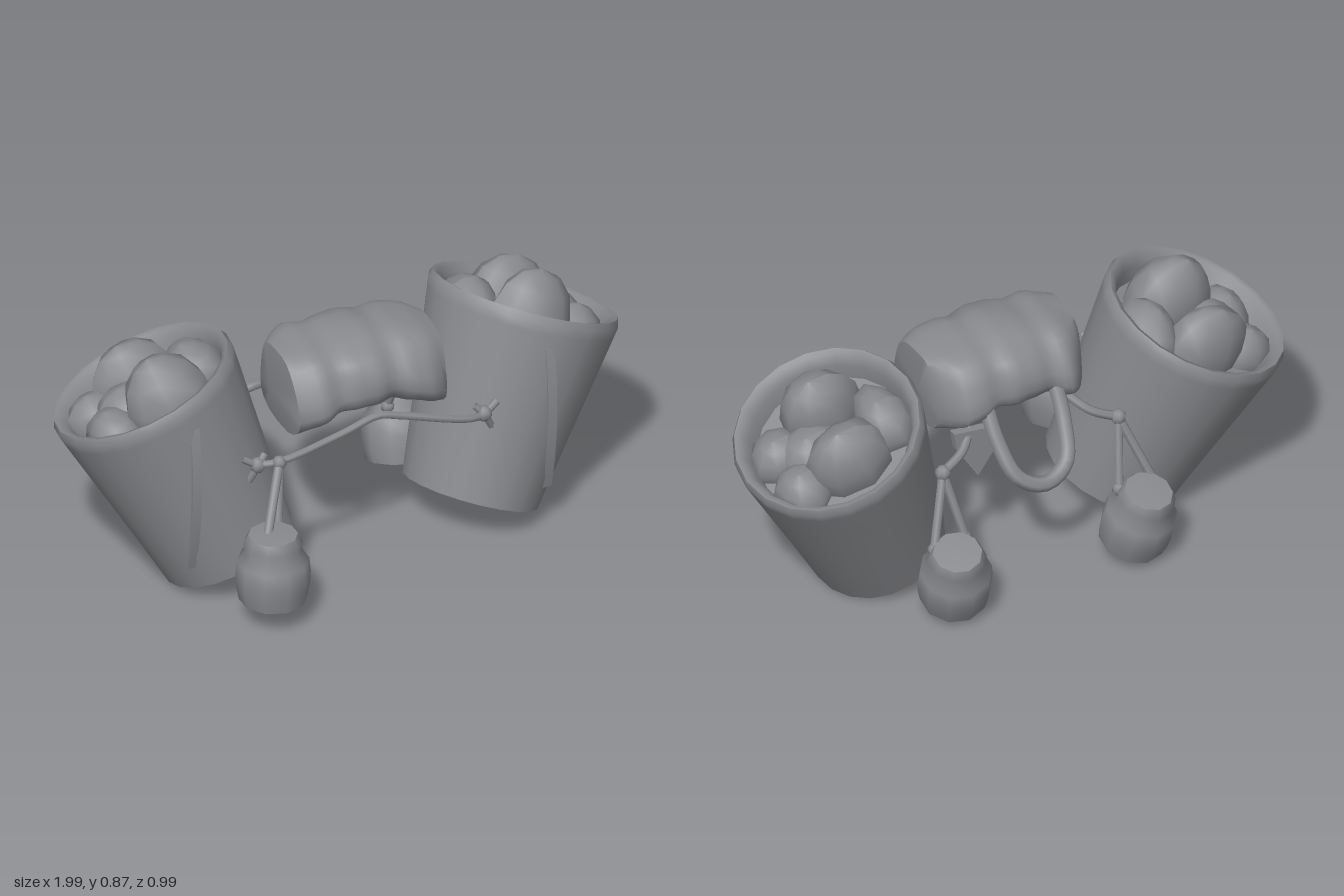
import * as THREE from 'three';
import { toCreasedNormals } from 'three/addons/utils/BufferGeometryUtils.js';

const grey = new THREE.MeshStandardMaterial({ color: 0x88898d, side: THREE.DoubleSide });
grey.name = 'clay grey';
const V = (x, y, z) => new THREE.Vector3(x, y, z);
const UP = V(0, 1, 0);

function add(parent, name, geometry, position) {
  const mesh = new THREE.Mesh(geometry, grey);
  mesh.name = name;
  if (position) mesh.position.copy(position);
  parent.add(mesh);
  return mesh;
}

const lathe = (profile, sides, crease) => toCreasedNormals(
  new THREE.LatheGeometry(profile.map(([r, y]) => new THREE.Vector2(r, y)), sides), crease);

// group whose local y runs from one point towards another
function standing(parent, name, from, to) {
  const g = new THREE.Group();
  g.name = name;
  g.position.copy(from);
  g.quaternion.setFromUnitVectors(UP, to.clone().sub(from).normalize());
  parent.add(g);
  return g;
}

function rope(parent, name, points, radius = 0.016, segments = 12) {
  const curve = new THREE.CatmullRomCurve3(points, false, 'centripetal');
  return add(parent, name, new THREE.TubeGeometry(curve, segments, radius, 6));
}

const knot = (parent, p, r = 0.025) => add(parent, 'knot', new THREE.SphereGeometry(r, 7, 5), p);

// irregular rounded lump
function lumpGeometry(seed) {
  const geo = new THREE.SphereGeometry(1, 9, 7);
  const p = geo.attributes.position;
  for (let i = 0; i < p.count; i++) {
    const v = V().fromBufferAttribute(p, i);
    const k = 1 + 0.06 * Math.sin(3 * v.x + seed) + 0.06 * Math.sin(4 * v.z + 2 * seed);
    p.setXYZ(i, v.x * k, v.y, v.z * k);
  }
  geo.computeVertexNormals();
  return geo;
}

// leaning basket filled with lumps
function basket(parent, s) {
  const g = standing(parent, s > 0 ? 'leftBasket' : 'rightBasket', V(0.438 * s, 0.1, 0.01), V(0.695 * s, 0.72, -0.12));
  add(g, 'basketWall', lathe([[0, 0], [0.234, 0], [0.264, 0.22], [0.302, 0.48], [0.324, 0.63], [0.329, 0.665],
    [0.318, 0.688], [0.3, 0.683], [0.278, 0.645], [0.265, 0.59], [0, 0.58]], 20, 0.9));
  const lumps = [ // x, y, z, then half sizes
    [-0.03, 0.62, 0.12, 0.15, 0.185, 0.12], [0.0, 0.62, -0.11, 0.16, 0.17, 0.105],
    [0.17, 0.6, 0.07, 0.1, 0.1, 0.11], [0.17, 0.6, -0.1, 0.1, 0.1, 0.1],
    [-0.18, 0.6, -0.03, 0.1, 0.11, 0.14], [0.08, 0.6, 0.0, 0.13, 0.11, 0.12],
  ];
  lumps.forEach(([x, y, z, a, b, c], i) => {
    add(g, 'lump', lumpGeometry(i * 1.7 + s), V(x * s, y, z)).scale.set(a, b, c);
  });

  // thin strap following the front of the basket
  const strap = new THREE.BoxGeometry(0.032, 0.55, 0.014, 1, 10, 1);
  const p = strap.attributes.position;
  for (let i = 0; i < p.count; i++) {
    const t = p.getY(i) / 0.275;
    p.setZ(i, p.getZ(i) + 0.217 + 0.014 * t - 0.033 * t * t);
  }
  strap.computeVertexNormals();
  add(parent, 'strap', strap, V(0.643 * s, 0.425, 0));
}

// closed round jar with a pinched neck
const jarProfile = [[0, -0.004], [0.06, -0.003], [0.114, 0.004], [0.123, 0.05], [0.126, 0.1], [0.121, 0.15], [0.095, 0.19],
  [0.1, 0.215], [0.083, 0.247], [0.04, 0.25], [0, 0.25]];
function jar(parent, from, to) {
  const g = standing(parent, 'jar', from, to);
  add(g, 'jarBody', lathe(jarProfile, 10, 1));
}

// draped bundle: domed cross-sections swept along x over an arch, with soft uneven folds
function bundleGeometry() {
  const n = 24, m = 24, pos = [], idx = [];
  const soft = (v, e) => Math.sign(v) * Math.abs(v) ** e;
  for (let i = 0; i <= n; i++) {
    const u = i / n * 2 - 1, x = 0.27 * u;
    const bulge = 0.98 + 0.035 * Math.cos(u * 9 + 0.5) + 0.015 * Math.sin(u * 17);
    const top = 0.85 - 0.4 * x * x, bottom = 0.61 - 1.1 * x * x;
    const end = Math.max(0, Math.abs(u) - 0.65) / 0.35;
    for (let j = 0; j < m; j++) {
      const a = j / m * Math.PI * 2;
      const k = bulge * (1 + 0.02 * Math.sin(5 * a + 4 * u));
      const h = soft(Math.sin(a), 0.8), c = soft(Math.cos(a), 0.7);
      const depth = 0.217 * (1 - 0.18 * h) * (1 - (c < 0 ? 0.4 : 0.12) * end * end);
      pos.push(0.008 + x * (1 + 0.02 * h), (top + bottom) / 2 + (top - bottom) / 2 * h * k, 0.005 + depth * c * k);
    }
  }
  for (let i = 0; i < n; i++) for (let j = 0; j < m; j++) {
    const a = i * m + j, b = i * m + (j + 1) % m;
    idx.push(a, a + m, b, b, a + m, b + m);
  }
  const c = pos.length / 3;
  pos.push(-0.285, 0.67, 0, 0.29, 0.67, 0);
  for (let j = 0; j < m; j++) {
    const k = (j + 1) % m;
    idx.push(c, j, k, c + 1, n * m + k, n * m + j);
  }
  const geo = new THREE.BufferGeometry();
  geo.setAttribute('position', new THREE.Float32BufferAttribute(pos, 3));
  geo.setIndex(idx);
  return toCreasedNormals(geo, 0.9);
}

export function createModel() {
  const model = new THREE.Group();
  model.name = 'packSaddle';

  add(model, 'bundle', bundleGeometry());

  // loop hanging behind the bundle
  rope(model, 'rearLoop', [V(-0.13, 0.68, -0.17), V(-0.125, 0.56, -0.25), V(-0.09, 0.45, -0.33), V(0, 0.41, -0.355),
    V(0.09, 0.45, -0.33), V(0.125, 0.56, -0.25), V(0.13, 0.68, -0.17)], 0.028, 28);

  // loose cloth corner below the rear edge
  const corner = new THREE.Shape([[0.09, 0.58], [0.1, 0.5], [0.17, 0.4], [0.25, 0.53], [0.26, 0.6]].map(([x, y]) => new THREE.Vector2(x, y)));
  add(model, 'clothCorner', new THREE.ExtrudeGeometry(corner, { depth: 0.03, bevelEnabled: false }), V(0, 0, -0.2));

  // rope across the front
  rope(model, 'frontRope', [V(-0.43, 0.5, 0.18), V(-0.35, 0.51, 0.215), V(-0.12, 0.55, 0.2), V(0.03, 0.585, 0.19),
    V(0.1, 0.57, 0.195), V(0.36, 0.5, 0.205), V(0.43, 0.49, 0.17)], 0.014, 30);

  for (const s of [-1, 1]) {
    basket(model, s);

    // knot with short loose ends by the basket
    knot(model, V(0.41 * s, 0.5, 0.19), 0.028);
    for (const [x, y] of [[0.46, 0.53], [0.44, 0.44], [0.38, 0.53]])
      rope(model, 'ropeEnd', [V(0.41 * s, 0.5, 0.195), V(x * s, y, 0.18)], 0.013, 3);

    // rear jar on its rope
    jar(model, V(0.335 * s, 0.052, -0.333), V(0.36 * s, 0.285, -0.408));
    rope(model, 'rearRope', [V(0.17 * s, 0.6, -0.15), V(0.24 * s, 0.54, -0.22), V(0.33 * s, 0.5, -0.25)]);
    knot(model, V(0.33 * s, 0.5, -0.25), 0.028);
    for (const [x, z] of [[0.29, -0.33], [0.41, -0.34]]) {
      rope(model, 'jarCord', [V(0.33 * s, 0.5, -0.25), V(x * s, 0.28, z)]);
      knot(model, V(x * s, 0.27, z));
    }
  }

  // front jar on its cords
  jar(model, V(-0.433, 0.09, 0.368), V(-0.433, 0.34, 0.368));
  knot(model, V(-0.345, 0.51, 0.22));
  for (const [x, z] of [[-0.45, 0.36], [-0.38, 0.29]]) {
    rope(model, 'jarCord', [V(-0.345, 0.51, 0.22), V(x, 0.32, z)]);
    knot(model, V(x, 0.31, z));
  }
  return model;
}
